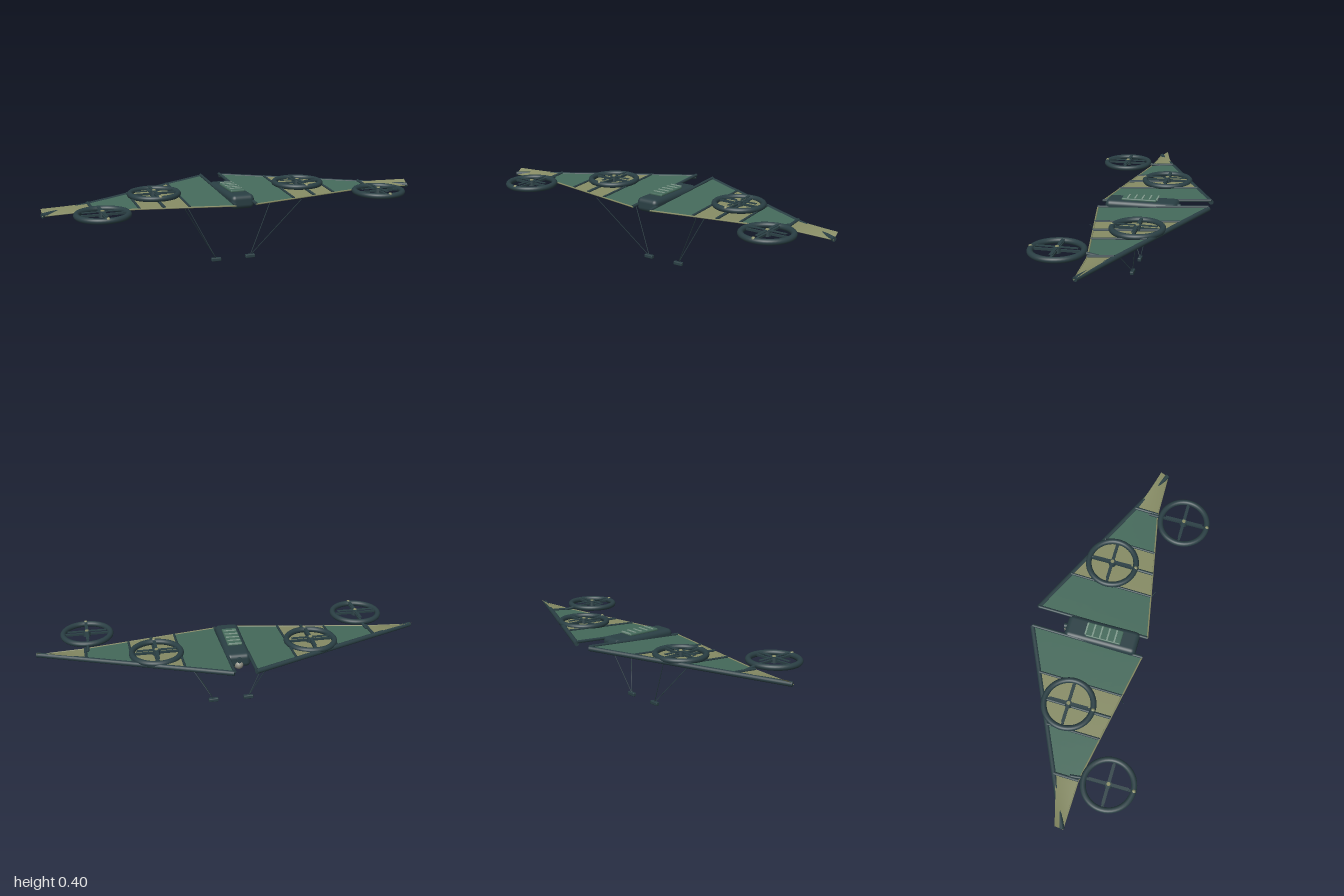
import * as THREE from 'three';
import { RoundedBoxGeometry } from 'three/addons/geometries/RoundedBoxGeometry.js';

const mat = (color) => new THREE.MeshStandardMaterial({ color });
const dark = mat(0x2a3f44), green = mat(0x456a5b), tan = mat(0x868b64), pale = mat(0x7f9a8c), glass = mat(0x8b8b80);
const greenSkin = green.clone(), tanSkin = tan.clone();
greenSkin.side = tanSkin.side = THREE.DoubleSide;

function add(parent, name, geometry, material, x = 0, y = 0, z = 0) {
  const mesh = new THREE.Mesh(geometry, material);
  mesh.name = name;
  mesh.position.set(x, y, z);
  parent.add(mesh);
  return mesh;
}

// Straight round bar between two points
function bar(parent, name, a, b, r, material = dark, sides = 10) {
  const from = new THREE.Vector3(...a), to = new THREE.Vector3(...b);
  const dir = to.clone().sub(from);
  const mesh = add(parent, name, new THREE.CylinderGeometry(r, r, dir.length(), sides), material);
  mesh.position.copy(from).add(to).multiplyScalar(0.5);
  mesh.quaternion.setFromUnitVectors(new THREE.Vector3(0, 1, 0), dir.normalize());
  return mesh;
}

const lerp = THREE.MathUtils.lerp;
const ROOT = 0.054, KINK = 0.75, TIP = 0.995;
const spar = (x) => {
  const t = (x - ROOT) / (TIP - ROOT);
  return [x, lerp(0.37, 0.338, t), lerp(-0.362, 0.076, t)];
};

// Skin edges: the tip panel twists so that its rear edge rises
function rear(x) {
  const k = spar(Math.min(x, KINK));
  const t = Math.max(0, (x - KINK) / (TIP - KINK));
  return [x, lerp(k[1] + 0.008, 0.364, t), lerp(k[2], 0.04, Math.pow(t, 0.8))];
}
function front(x) {
  if (x <= KINK) {
    const t = (x - ROOT) / (KINK - ROOT);
    return [x, lerp(0.34, 0.344, t), lerp(0.216, 0.086, t)];
  }
  const t = (x - KINK) / (TIP - KINK);
  return [x, lerp(0.344, 0.336, t), lerp(0.086, 0.08, t)];
}

// Cloth panel between two stations of the wing
function skin(parent, name, x0, x1, s, material) {
  const nu = 8, nv = 6;
  const geo = new THREE.PlaneGeometry(1, 1, nu, nv);
  const p = geo.attributes.position;
  for (let i = 0; i < p.count; i++) {
    const x = lerp(x0, x1, p.getX(i) + 0.5), v = p.getY(i) + 0.5;
    const f = front(x), r = rear(x);
    p.setXYZ(i, s * x, lerp(f[1], r[1], v), lerp(f[2], r[2], v));
  }
  // keep the front of the faces upward on both sides
  if (s < 0) {
    const idx = geo.index.array;
    for (let i = 0; i < idx.length; i += 3) [idx[i], idx[i + 1]] = [idx[i + 1], idx[i]];
  }
  geo.computeVertexNormals();
  add(parent, name, geo, material);
}

// Ducted fan: ring, cross struts, motor, blades and a lamp at the front
function fan(parent, name, x, y, z) {
  const g = new THREE.Group();
  g.name = name;
  g.position.set(x, y, z);
  parent.add(g);
  const ring = add(g, 'fanRing', new THREE.TorusGeometry(0.124, 0.0148, 12, 48), dark);
  ring.rotation.x = Math.PI / 2;
  add(g, 'strutAcross', new THREE.BoxGeometry(0.24, 0.01, 0.012), dark);
  add(g, 'strutAlong', new THREE.BoxGeometry(0.012, 0.01, 0.24), dark);
  add(g, 'motor', new THREE.CylinderGeometry(0.017, 0.02, 0.026, 16), dark, 0, 0.002, 0);
  add(g, 'hubCap', new THREE.CylinderGeometry(0.009, 0.011, 0.007, 12), tan, 0, 0.018, 0);
  for (let i = 0; i < 2; i++) {
    const blade = add(g, 'blade', new THREE.BoxGeometry(0.2, 0.003, 0.016), dark, 0, 0.016, 0);
    blade.rotation.y = i * Math.PI / 2;
  }
  add(g, 'lamp', new THREE.SphereGeometry(0.01, 12, 8), tan, 0, 0.009, 0.126);
}

function wing(s) {
  const g = new THREE.Group();
  g.name = s > 0 ? 'leftWing' : 'rightWing';
  const m = ([x, y, z], dy = 0) => [s * x, y + dy, z];

  skin(g, 'innerSkin', ROOT, 0.28, s, greenSkin);
  skin(g, 'middleSkin', 0.28, 0.525, s, tanSkin);
  skin(g, 'outerSkin', 0.525, KINK, s, greenSkin);
  skin(g, 'tipSkin', KINK, TIP, s, tanSkin);

  // Spar along the rear edge, thin bar along the front edge
  bar(g, 'rearSpar', m(spar(ROOT)), m(spar(TIP)), 0.0125, dark, 16);
  bar(g, 'frontEdge', m(front(ROOT)), m(front(KINK)), 0.004, tan, 8);
  bar(g, 'tipFrontEdge', m(front(KINK)), m(front(TIP)), 0.003, tan, 8);

  // Ribs
  for (const [x, r] of [[ROOT, 0.008], [0.28, 0.006], [0.405, 0.008], [0.525, 0.006], [KINK, 0.008]])
    bar(g, 'rib', m(rear(x), 0.002), m(front(x), 0.002), r);

  fan(g, 'innerFan', s * 0.4, 0.368, -0.068);
  fan(g, 'outerFan', s * 0.733, 0.359, 0.232);
  bar(g, 'outerFanBracket', m([0.74, 0.348, 0.04]), m([0.733, 0.357, 0.112]), 0.008);

  // Landing leg: two thin rods meeting at a foot
  const foot = [0.095, 0.012, 0.024];
  bar(g, 'frontLeg', m(foot), m([0.313, 0.338, 0.19]), 0.002, dark, 6);
  bar(g, 'rearLeg', m(foot), m([0.262, 0.348, -0.042]), 0.002, dark, 6);
  add(g, 'foot', new RoundedBoxGeometry(0.052, 0.019, 0.02, 2, 0.004), dark, s * 0.095, 0.0095, 0.024);
  return g;
}

export function createModel() {
  const model = new THREE.Group();
  model.name = 'glider';
  model.add(wing(1), wing(-1));

  // Body pod with top deck and cooling slats
  const body = new THREE.Group();
  body.name = 'body';
  model.add(body);
  add(body, 'pod', new RoundedBoxGeometry(0.124, 0.072, 0.376, 5, 0.024), dark, 0, 0.345, -0.01);
  add(body, 'deck', new RoundedBoxGeometry(0.076, 0.014, 0.184, 3, 0.006), green, 0, 0.385, 0.003);
  for (let i = 0; i < 5; i++)
    add(body, 'slat', new THREE.BoxGeometry(0.066, 0.006, 0.008), pale, 0, 0.392, 0.062 - i * 0.038);

  // Sensor dome under the tail of the pod
  const dome = add(body, 'sensorDome', new THREE.SphereGeometry(0.025, 20, 14), glass, 0, 0.324, -0.18);
  dome.scale.z = 1.3;
  bar(body, 'tailKnob', [0, 0.355, -0.19], [0, 0.355, -0.21], 0.014, dark, 14);
  return model;
}
